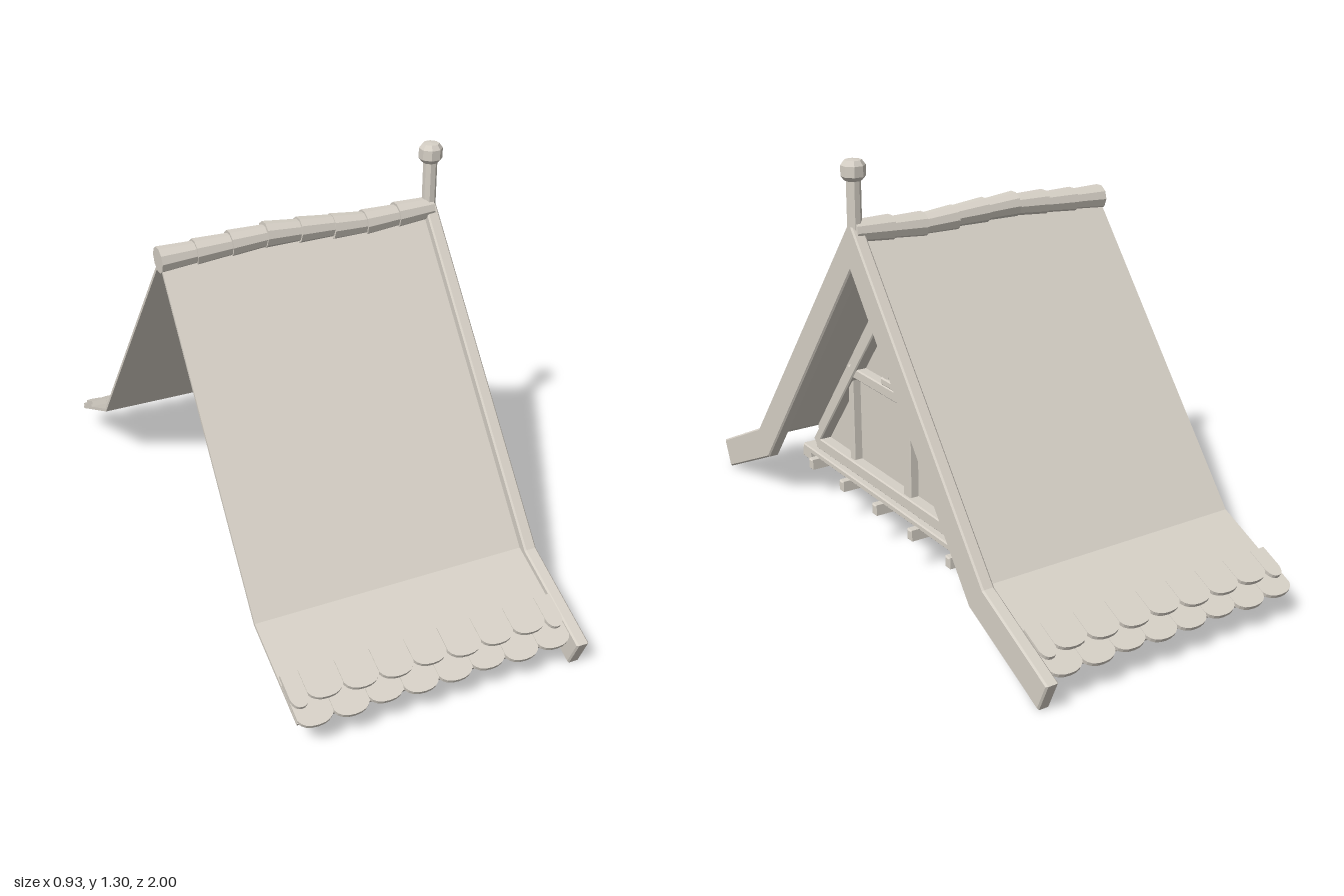
import * as THREE from 'three';

const plaster = new THREE.MeshStandardMaterial({ color: 0xd6d0c6, flatShading: true });
plaster.name = 'pale plaster';

const X0 = -0.465, X1 = 0.41;          // roof extent along the ridge
const SLOPE = Math.atan2(0.127, 0.27); // pitch of the flared eaves

function add(parent, name, geometry) {
  const mesh = new THREE.Mesh(geometry, plaster);
  mesh.name = name;
  parent.add(mesh);
  return mesh;
}

// Outline of [z, y] points, extruded along x from xMin to xMax
function slab(points, xMin, xMax, bevel = 0) {
  const shape = new THREE.Shape(points.map(([z, y]) => new THREE.Vector2(z, y)));
  const geometry = new THREE.ExtrudeGeometry(shape, {
    depth: xMax - xMin - 2 * bevel, bevelEnabled: bevel > 0,
    bevelThickness: bevel, bevelSize: bevel, bevelOffset: -bevel, bevelSegments: 1,
  });
  return geometry.rotateY(-Math.PI / 2).translate(xMax - bevel, 0, 0);
}

// Closes a half outline (apex first and last) by mirroring it across z = 0
function mirrored(half) {
  const inner = half.slice(1, -1).reverse().map(([z, y]) => [-z, y]);
  return [...half, ...inner];
}

// Chevron running down one outer edge and back along the inner edge on both sides
function chevron(outer, inner) {
  const flip = (list) => list.map(([z, y]) => [-z, y]);
  return [
    ...outer, ...inner.slice().reverse(),
    ...flip(inner.slice(1)), ...flip(outer.slice(1)).reverse(),
  ];
}

// Timber between two [z, y] points on the gable
function timber(parent, name, a, b, width, xMin, xMax) {
  const dz = b[0] - a[0], dy = b[1] - a[1], len = Math.hypot(dz, dy);
  const pz = (-dy / len) * width / 2, py = (dz / len) * width / 2;
  const outline = [
    [a[0] - pz, a[1] - py], [b[0] - pz, b[1] - py],
    [b[0] + pz, b[1] + py], [a[0] + pz, a[1] + py],
  ];
  return add(parent, name, slab(outline, xMin, xMax, 0.004));
}

function scallopTile(width, length) {
  const s = new THREE.Shape();
  const h = width / 2, round = 0.028;
  s.moveTo(-h, 0);
  s.lineTo(h, 0);
  s.lineTo(h, length - round);
  s.quadraticCurveTo(h * 0.8, length, 0, length);
  s.quadraticCurveTo(-h * 0.8, length, -h, length - round);
  return new THREE.ExtrudeGeometry(s, { depth: 0.012, bevelEnabled: false, curveSegments: 4 });
}

// Two overlapping rows of rounded tiles along one eave
function eaveTiles() {
  const eave = new THREE.Group();
  eave.name = 'eaveTiles';
  const rows = [
    { start: 0.2, end: 0.338, lift: 0.009, shift: 0 },
    { start: 0.177, end: 0.278, lift: 0.021, shift: 0.5 },
  ];
  const count = 8, pitch = (X1 - X0) / count;
  for (const row of rows) {
    for (let i = 0; i < count + (row.shift ? 1 : 0); i++) {
      const left = Math.max(X0, X0 + (i - row.shift) * pitch);
      const right = Math.min(X1, X0 + (i + 1 - row.shift) * pitch);
      const wobble = 0.004 * Math.sin(i * 2.3 + row.shift * 4);
      const tile = add(eave, 'eaveTile', scallopTile(right - left - 0.001, row.end - row.start + wobble));
      tile.geometry.translate(0, row.start, -row.lift);
      tile.rotation.x = Math.PI / 2 + SLOPE;
      tile.position.set((left + right) / 2, 0.232, 0.67);
    }
  }
  return eave;
}

export function createModel() {
  const model = new THREE.Group();
  model.name = 'gabledRoof';

  // Roof covering with flared eaves
  add(model, 'roofCovering', slab(chevron(
    [[0, 1.085], [0.67, 0.232], [0.955, 0.098]],
    [[0, 1.07], [0.664, 0.224], [0.951, 0.089]]), X0, X1));

  const frontTiles = eaveTiles();
  const backTiles = eaveTiles();
  backTiles.rotation.y = Math.PI;
  backTiles.position.x = X0 + X1;
  model.add(frontTiles, backTiles);

  // Bargeboard along the gable edge
  add(model, 'bargeboard', slab(chevron(
    [[0, 1.125], [0.7, 0.24], [1, 0.095]],
    [[0, 0.975], [0.63, 0.158], [0.96, 0.004]]), X1, 0.45, 0.005));

  // Ridge tiles, each tapering into the next along a slightly uneven line
  const ridge = new THREE.Group();
  ridge.name = 'ridgeTiles';
  model.add(ridge);
  const ridgeY = [1.082, 1.087, 1.094, 1.097, 1.092, 1.083, 1.083, 1.089];
  ridgeY.forEach((y, i) => {
    const tile = add(ridge, 'ridgeTile', new THREE.CylinderGeometry(0.034, 0.041, 0.125, 10));
    tile.rotation.z = -Math.PI / 2 + (i < 3 ? 0.04 : i < 6 ? -0.05 : 0.04);
    tile.position.set(X0 + 0.059 + i * 0.1115, y, 0);
  });

  // Finial post with a bevelled knob
  const finial = new THREE.Group();
  finial.name = 'finial';
  finial.position.set(0.43, 0, 0);
  model.add(finial);
  const post = add(finial, 'finialPost', new THREE.CylinderGeometry(0.022, 0.022, 0.18, 8));
  post.rotation.y = Math.PI / 8;
  post.position.y = 1.16;
  const knob = [[0, 1.243], [0.026, 1.243], [0.037, 1.256], [0.037, 1.288], [0.026, 1.303], [0, 1.305]];
  add(finial, 'finialKnob', new THREE.LatheGeometry(knob.map((p) => new THREE.Vector2(...p)), 8))
    .rotation.y = Math.PI / 8;

  // Recessed gable wall
  const gable = new THREE.Group();
  gable.name = 'gable';
  model.add(gable);
  add(gable, 'gableWall', slab(mirrored([[0, 1.06], [0.655, 0.225], [0.655, 0.118], [0, 0.118]]), 0.21, 0.24));

  // Timber frame
  timber(gable, 'sillBeam', [-0.6, 0.186], [0.6, 0.186], 0.042, 0.22, 0.28);
  timber(gable, 'floorBeam', [-0.66, 0.155], [0.66, 0.155], 0.022, 0.21, 0.3);
  timber(gable, 'collarBeam', [-0.36, 0.523], [0.36, 0.523], 0.036, 0.22, 0.275);
  timber(gable, 'kingPost', [0, 0.2], [0, 0.93], 0.044, 0.22, 0.27);
  for (const side of [-1, 1]) {
    timber(gable, 'rafter', [side * 0.605, 0.185], [0, 0.945], 0.034, 0.22, 0.28);
    timber(gable, 'sidePost', [side * 0.355, 0.2], [side * 0.355, 0.51], 0.03, 0.22, 0.27);
    timber(gable, 'beamEnd', [side * 0.61, 0.137], [side * 0.665, 0.137], 0.04, 0.21, 0.3);
  }

  // Joist ends below the floor beam
  for (let i = 0; i < 6; i++) {
    const z = -0.55 + i * 0.22;
    timber(gable, 'joistEnd', [z, 0.113], [z, 0.15], 0.026, 0.22, 0.33);
  }

  // Window frame high on the gable
  const win = new THREE.Group();
  win.name = 'window';
  gable.add(win);
  timber(win, 'windowHead', [-0.108, 0.768], [0.108, 0.768], 0.026, 0.23, 0.295);
  timber(win, 'windowSill', [-0.108, 0.567], [0.108, 0.567], 0.024, 0.23, 0.295);
  for (const side of [-1, 1]) {
    timber(win, 'windowJamb', [side * 0.09, 0.56], [side * 0.09, 0.77], 0.03, 0.23, 0.29);
  }
  timber(win, 'windowMullion', [0, 0.57], [0, 0.77], 0.03, 0.23, 0.285);

  return model;
}
